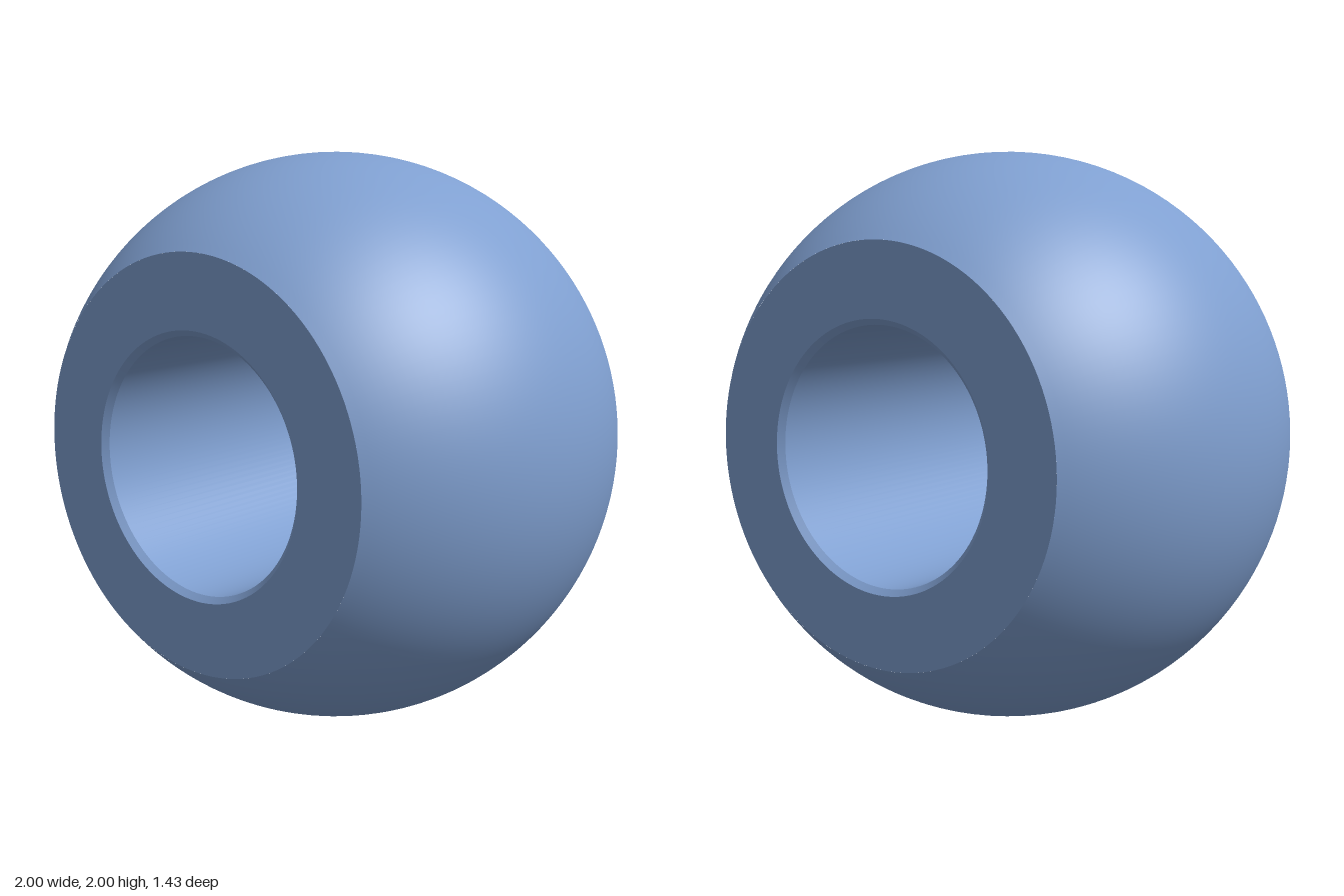
import * as THREE from 'three';

const R = 1;          // ball radius
const H = 0.714;      // half width between the flat faces
const FACE = 0.7;     // outer radius of each flat face
const BORE = 0.43;    // hole radius
const MOUTH = 0.45;   // hole radius at the chamfered mouth
const CH = 0.02;      // chamfer depth

export function createModel() {
  const model = new THREE.Group();
  const steelBlue = new THREE.MeshStandardMaterial({ color: 0x7f9fd0 });

  // Ball body lies with its axis along z, resting on y = 0
  const ball = new THREE.Group();
  ball.name = 'boredBall';
  ball.rotation.x = Math.PI / 2;
  ball.position.y = R;
  model.add(ball);

  // Each surface is its own lathe, so the edges between them stay sharp
  const addSurface = (name, points) => {
    const profile = points.map(([r, y]) => new THREE.Vector2(r, y));
    const mesh = new THREE.Mesh(new THREE.LatheGeometry(profile, 128), steelBlue);
    mesh.name = name;
    ball.add(mesh);
  };

  // Spherical outside, truncated at both ends
  const limit = Math.atan2(H, FACE);
  const arc = [];
  for (let i = 0; i <= 48; i++) {
    const a = limit * (i / 24 - 1);
    arc.push([R * Math.cos(a), R * Math.sin(a)]);
  }
  addSurface('sphericalSurface', arc);

  // Flat faces, chamfers and through hole
  addSurface('frontFace', [[FACE, H], [MOUTH, H]]);
  addSurface('frontChamfer', [[MOUTH, H], [BORE, H - CH]]);
  addSurface('bore', [[BORE, H - CH], [BORE, CH - H]]);
  addSurface('backChamfer', [[BORE, CH - H], [MOUTH, -H]]);
  addSurface('backFace', [[MOUTH, -H], [FACE, -H]]);

  return model;
}
